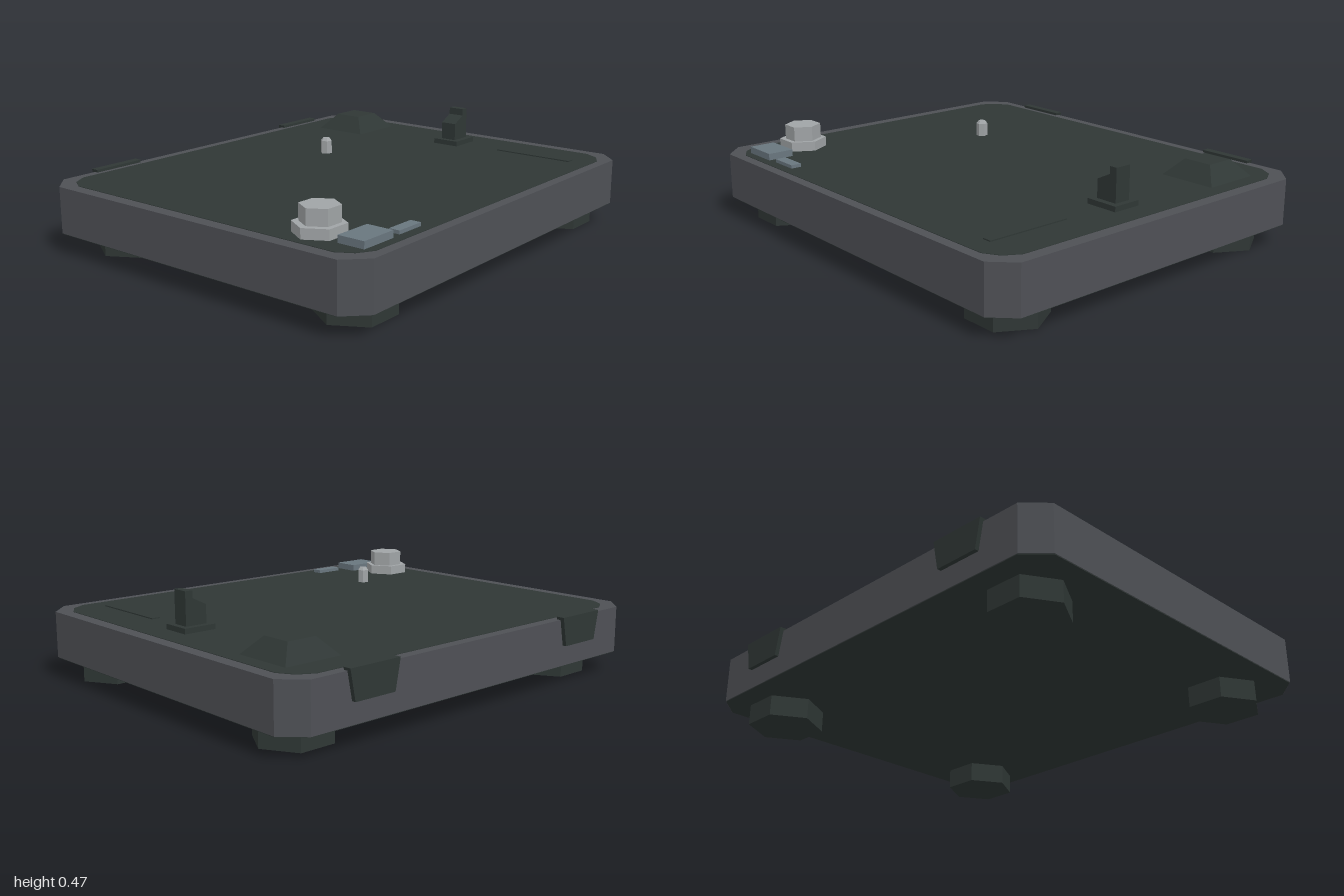
import * as THREE from 'three';

const mat = (name, color) => {
  const m = new THREE.MeshStandardMaterial({ color });
  m.name = name;
  return m;
};

export function createModel() {
  const model = new THREE.Group();
  const grey = mat('plinth grey', 0x4e5055);
  const dark = mat('dark green grey', 0x2f3735);
  const steel = mat('blue steel', 0x69767e);
  const silver = mat('silver', 0xa0a4a6);

  const add = (name, geo, material, x = 0, y = 0, z = 0) => {
    const mesh = new THREE.Mesh(geo, material);
    mesh.name = name;
    mesh.position.set(x, y, z);
    model.add(mesh);
    return mesh;
  };
  // Box given by its limits
  const block = (name, material, x0, x1, y0, y1, z0, z1) =>
    add(name, new THREE.BoxGeometry(x1 - x0, y1 - y0, z1 - z0), material,
      (x0 + x1) / 2, (y0 + y1) / 2, (z0 + z1) / 2);
  // Upright faceted prism with corners on the x axis
  const prism = (name, material, x, z, y0, y1, rTop, rBottom = rTop, sides = 6, turn = Math.PI / 2) => {
    const geo = new THREE.CylinderGeometry(rTop, rBottom, y1 - y0, sides).rotateY(turn).toNonIndexed();
    geo.computeVertexNormals();
    return add(name, geo, material, x, (y0 + y1) / 2, z);
  };
  // Horizontal slab with cut corners; bulge pushes out a middle point on each cut
  const slab = (name, material, hx, hz, cut, bulge, y0, y1) => {
    const pts = [];
    for (const [sx, sz] of [[1, 1], [-1, 1], [-1, -1], [1, -1]]) {
      const corner = [new THREE.Vector2(sx * hx, sz * (hz - cut)), new THREE.Vector2(sx * (hx - cut), sz * hz)];
      if (bulge) {
        const mid = cut / 2 - bulge;
        corner.splice(1, 0, new THREE.Vector2(sx * (hx - mid), sz * (hz - mid)));
      }
      pts.push(...(sx * sz > 0 ? corner : corner.reverse()));
    }
    const geo = new THREE.ExtrudeGeometry(new THREE.Shape(pts), { depth: y1 - y0, bevelEnabled: false });
    return add(name, geo.rotateX(-Math.PI / 2), material, 0, y0, 0.007);
  };

  // Plinth, its underside and the inset top panel
  slab('plinth', grey, 1, 0.847, 0.09, 0, 0.095, 0.3);
  slab('underside', dark, 0.998, 0.845, 0.09, 0, 0.092, 0.096);
  slab('topPanel', dark, 0.945, 0.802, 0.105, 0.014, 0.297, 0.302);

  // Four hexagonal feet
  for (const x of [-0.738, 0.785]) {
    for (const z of [0.635, -0.595]) prism('foot', dark, x, z, 0, 0.095, 0.163);
  }

  // Rear hinge plates, narrower at the bottom
  const hinge = new THREE.Shape([[-0.1, 0.185], [0.1, 0.185], [0.125, 0.312], [-0.125, 0.312]]
    .map(([x, y]) => new THREE.Vector2(x, y)));
  for (const x of [-0.617, 0.617]) {
    add('hingePlate', new THREE.ExtrudeGeometry(hinge, { depth: 0.036, bevelEnabled: false }), dark, x, 0, -0.858);
  }

  // Square tapered mount at the rear corner
  prism('taperedMount', dark, 0.745, -0.535, 0.3, 0.375, 0.0675 * Math.SQRT2, 0.135 * Math.SQRT2, 4, Math.PI / 4);

  // Stepped rest post on its foot plate
  block('restPlate', dark, 0.69, 0.84, 0.3, 0.325, 0.003, 0.135);
  const rest = new THREE.Shape([[0.715, 0.32], [0.815, 0.32], [0.815, 0.47], [0.78, 0.47], [0.78, 0.438], [0.715, 0.405]]
    .map(([x, y]) => new THREE.Vector2(x, y)));
  add('restPost', new THREE.ExtrudeGeometry(rest, { depth: 0.076, bevelEnabled: false }), dark, 0, 0, 0.031);

  // Slider strip
  block('sliderStrip', dark, 0.74, 0.78, 0.3, 0.307, 0.335, 0.715);

  // Two-tier hexagonal knob and two flat buttons
  prism('knobBase', silver, -0.808, 0.525, 0.3, 0.345, 0.106);
  prism('knobTop', silver, -0.804, 0.525, 0.345, 0.412, 0.081);
  block('largeButton', steel, -0.86, -0.69, 0.3, 0.332, 0.652, 0.772);
  block('smallButton', steel, -0.643, -0.508, 0.3, 0.317, 0.717, 0.765);

  // Floating spindle with a tapered tip
  prism('spindle', silver, -0.13, -0.008, 0.4, 0.455, 0.025, 0.025, 6, 0.3);
  prism('spindleTip', silver, -0.13, -0.008, 0.455, 0.467, 0.015, 0.025, 6, 0.3);

  return model;
}
